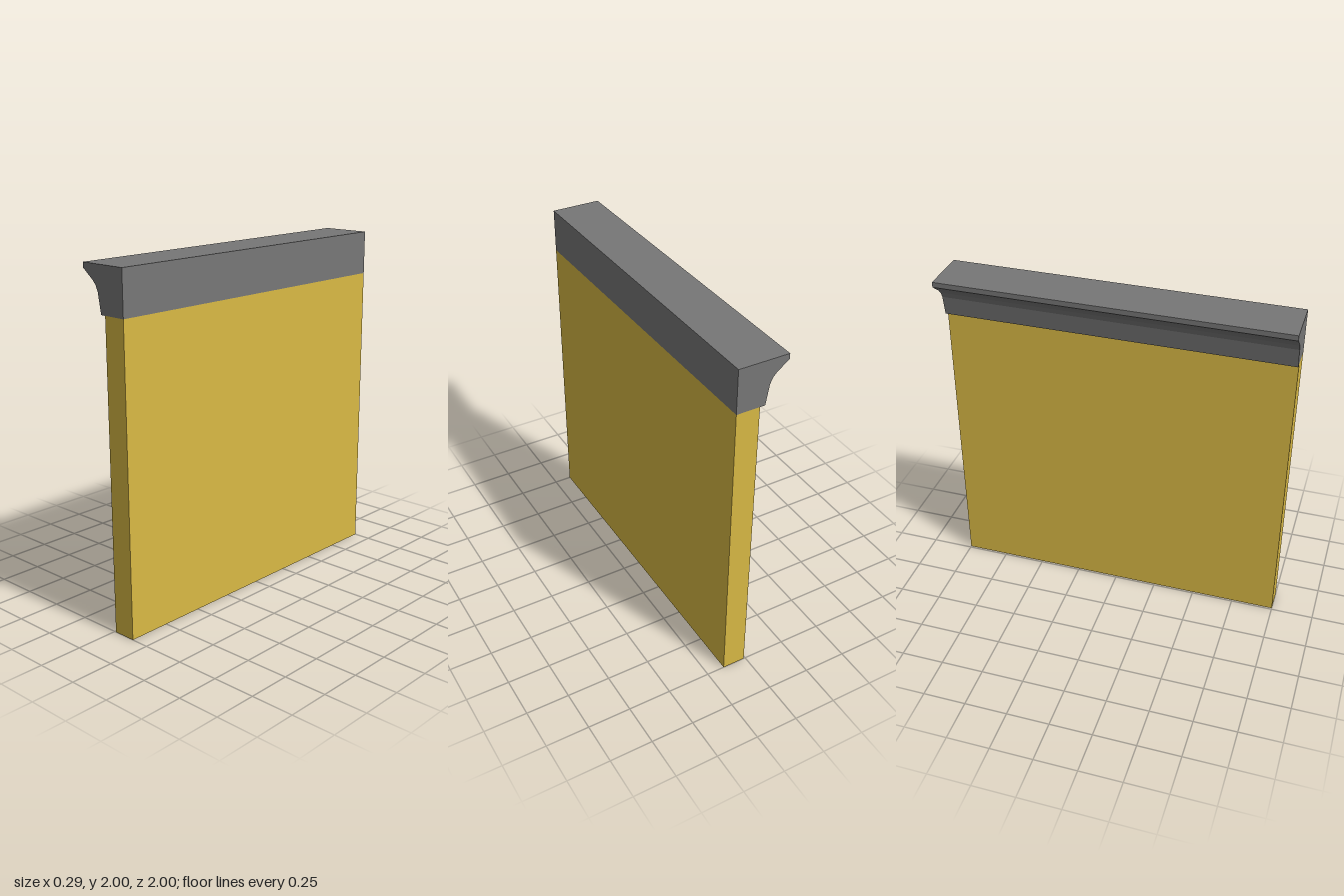
import * as THREE from 'three';

const LENGTH = 2;
const WALL_TOP = 1.745;
const WALL_BACK = 0.01;
const FACE = 0.145;

export function createModel() {
  const group = new THREE.Group();
  group.name = 'wallWithCornice';
  const yellow = new THREE.MeshStandardMaterial({ color: 0xd9b945, flatShading: true });
  const grey = new THREE.MeshStandardMaterial({ color: 0x777777, flatShading: true });

  // Wall slab: yellow sides, grey top and underside
  const wall = new THREE.Mesh(
    new THREE.BoxGeometry(FACE - WALL_BACK, WALL_TOP, LENGTH),
    [yellow, yellow, grey, grey, yellow, yellow]
  );
  wall.name = 'wall';
  wall.position.set((FACE + WALL_BACK) / 2, WALL_TOP / 2, 0);
  group.add(wall);

  // Cornice: faceted cove profile run along the wall
  const profile = new THREE.Shape([
    [FACE, WALL_TOP], [FACE, 2], [-FACE, 2], [-FACE, 1.97],
    [-0.077, 1.917], [-0.055, 1.893], [-0.04, 1.86], [-0.02, WALL_TOP],
  ].map(([x, y]) => new THREE.Vector2(x, y)));
  const corniceGeometry = new THREE.ExtrudeGeometry(profile, { depth: LENGTH, bevelEnabled: false });
  corniceGeometry.translate(0, 0, -LENGTH / 2);
  const cornice = new THREE.Mesh(corniceGeometry, grey);
  cornice.name = 'cornice';
  group.add(cornice);

  return group;
}
